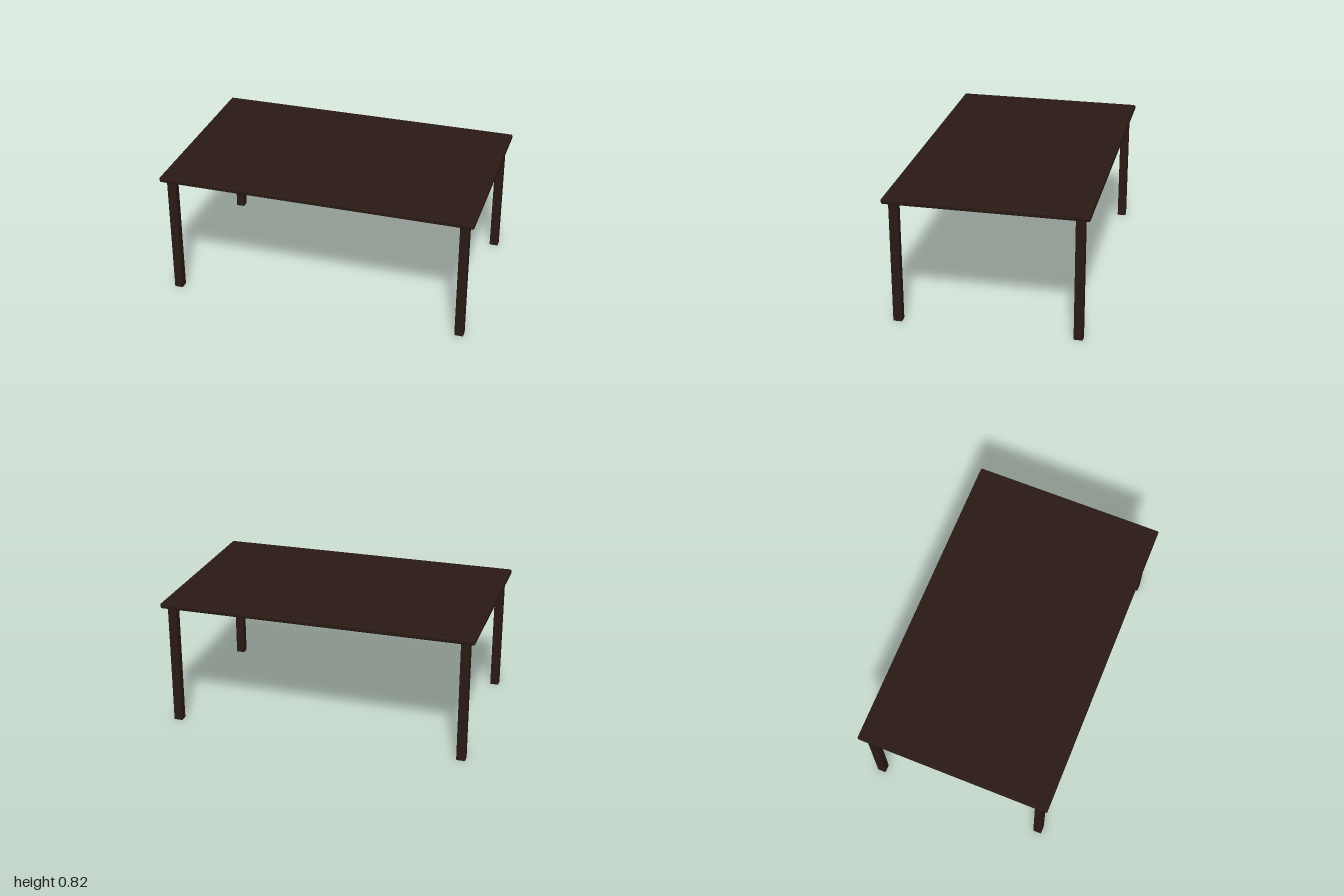
import * as THREE from 'three';
import { RoundedBoxGeometry } from 'three/addons/geometries/RoundedBoxGeometry.js';

const TOP = { width: 2, thickness: 0.034, depth: 1.246, y: 0.789 };
const LEG = { size: 0.056, radius: 0.006, x: 0.938, z: 0.561 };

// Square post with softly rounded vertical edges, standing on y = 0
function legGeometry() {
  const h = LEG.size / 2, r = LEG.radius, c = h - r;
  const section = new THREE.Shape();
  section.absarc(c, c, r, 0, Math.PI / 2);
  section.absarc(-c, c, r, Math.PI / 2, Math.PI);
  section.absarc(-c, -c, r, Math.PI, Math.PI * 1.5);
  section.absarc(c, -c, r, Math.PI * 1.5, Math.PI * 2);
  const geometry = new THREE.ExtrudeGeometry(section, { depth: TOP.y + 0.002, bevelEnabled: false, curveSegments: 4 });
  return geometry.rotateX(-Math.PI / 2);
}

export function createModel() {
  const table = new THREE.Group();
  table.name = 'table';
  const wood = new THREE.MeshStandardMaterial({ color: 0x2a1a14 });

  // Slab top with eased edges
  const top = new THREE.Mesh(new RoundedBoxGeometry(TOP.width, TOP.thickness, TOP.depth, 4, 0.01), wood);
  top.name = 'tableTop';
  top.position.y = TOP.y + TOP.thickness / 2;
  table.add(top);

  // Four corner legs
  const geometry = legGeometry();
  for (const [side, sx] of [['Left', 1], ['Right', -1]]) {
    for (const [end, sz] of [['front', 1], ['back', -1]]) {
      const leg = new THREE.Mesh(geometry, wood);
      leg.name = `${end}${side}Leg`;
      leg.position.set(sx * LEG.x, 0, sz * LEG.z);
      table.add(leg);
    }
  }
  return table;
}
